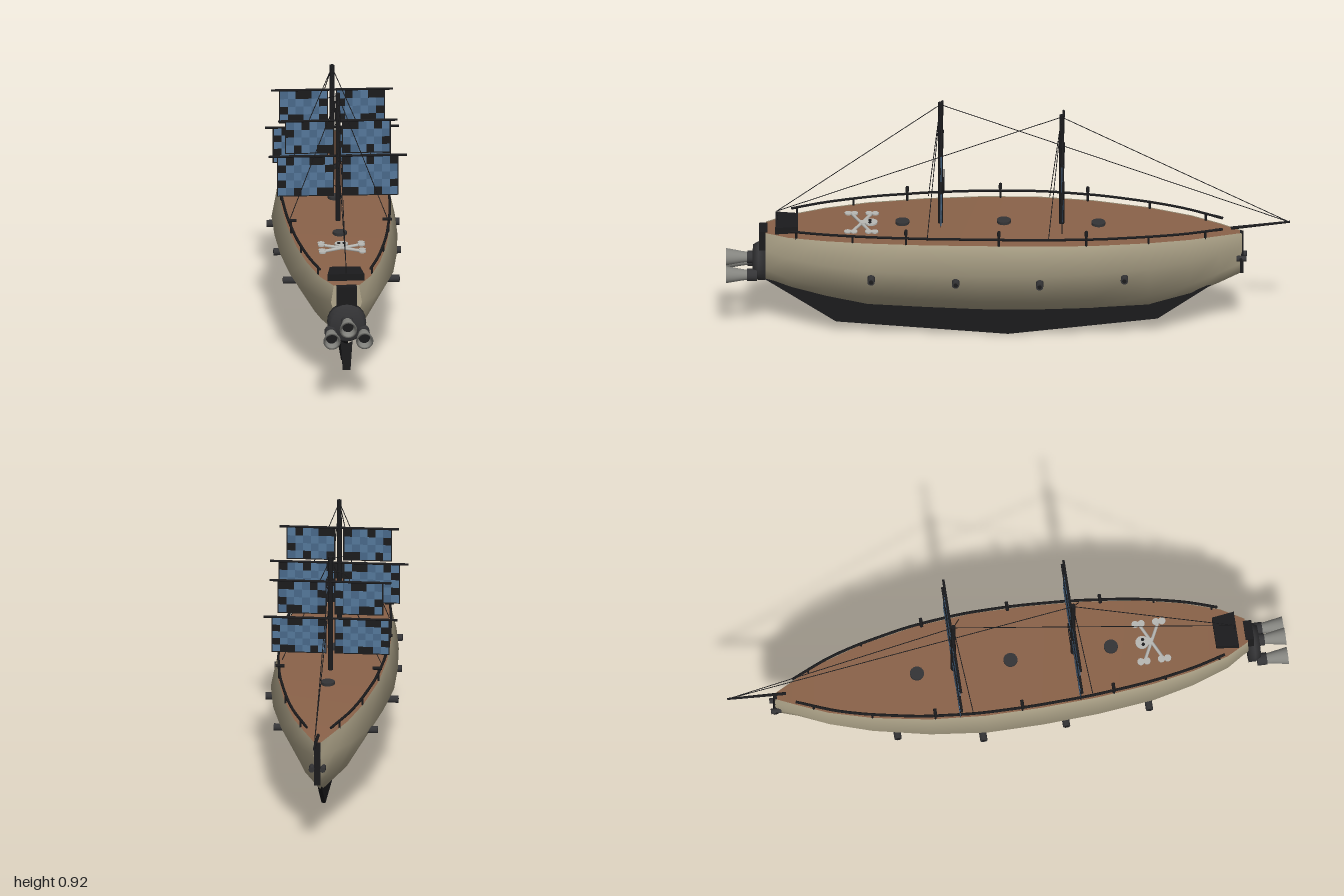
import * as THREE from 'three';
import { mergeGeometries } from 'three/addons/utils/BufferGeometryUtils.js';

const mat = (color) => new THREE.MeshStandardMaterial({ color, side: THREE.DoubleSide });
const HULL = mat(0xb0a68b), DECK = mat(0x8a6249), DARK = mat(0x1b1b1d), IRON = mat(0x343436);
const BLUE = mat(0x55789b), BLUE2 = mat(0x49698a), STEEL = mat(0x84847f), BONE = mat(0xb8b8b4);
const V = (x, y, z) => new THREE.Vector3(x, y, z);

// Hull stations from stern (+z) to bow: z, deck half-width, widest half-width, deck height, keel height
const STATIONS = [
  [0.86, 0.045, 0.055, 0.415, 0.21], [0.78, 0.09, 0.105, 0.42, 0.178], [0.65, 0.13, 0.15, 0.428, 0.142],
  [0.5, 0.16, 0.184, 0.435, 0.11], [0.3, 0.183, 0.207, 0.441, 0.1], [0.1, 0.194, 0.218, 0.445, 0.092],
  [-0.1, 0.195, 0.219, 0.445, 0.092], [-0.3, 0.178, 0.196, 0.44, 0.1], [-0.5, 0.14, 0.153, 0.433, 0.114],
  [-0.65, 0.095, 0.108, 0.425, 0.16], [-0.75, 0.05, 0.06, 0.418, 0.208], [-0.83, 0.01, 0.013, 0.41, 0.25],
];

// Interpolated station at any z
function stationAt(z) {
  let i = 0;
  while (i < STATIONS.length - 2 && STATIONS[i + 1][0] > z) i++;
  const a = STATIONS[i], b = STATIONS[i + 1], t = (z - a[0]) / (b[0] - a[0]);
  return a.map((v, k) => v + (b[k] - v) * t);
}

// Outline of one hull section, from the left gunwale round the keel to the right one
function hullSection([, deck, wide, top, keel]) {
  const h = top - keel;
  const half = [[deck, top], [wide, keel + h * 0.69], [wide * 0.52, keel + h * 0.25]];
  return [...half, [0, keel], ...half.map(([x, y]) => [-x, y]).reverse()];
}

// Skin stretched over the sections of all stations
function loft(section) {
  const pos = [], index = [];
  const rows = STATIONS.map(section), n = rows[0].length;
  rows.forEach((row, i) => row.forEach(([x, y]) => pos.push(x, y, STATIONS[i][0])));
  for (let i = 0; i < rows.length - 1; i++) {
    for (let j = 0; j < n - 1; j++) {
      const a = i * n + j, b = a + n;
      index.push(a, a + 1, b, b, a + 1, b + 1);
    }
  }
  const g = new THREE.BufferGeometry();
  g.setAttribute('position', new THREE.Float32BufferAttribute(pos, 3));
  g.setIndex(index);
  g.computeVertexNormals();
  return g;
}

const shapeOf = (pts) => new THREE.Shape(pts.map(([x, y]) => new THREE.Vector2(x, y)));

export function createModel() {
  const root = new THREE.Group();
  const add = (name, geo, material, x = 0, y = 0, z = 0, parent = root) => {
    const m = new THREE.Mesh(geo, material);
    m.name = name;
    m.position.set(x, y, z);
    parent.add(m);
    return m;
  };
  // Round bar between two points
  const rod = (name, a, b, r, material = DARK, sides = 8, r2 = r) => {
    const m = add(name, new THREE.CylinderGeometry(r2, r, a.distanceTo(b), sides), material);
    m.position.copy(a).lerp(b, 0.5);
    m.quaternion.setFromUnitVectors(V(0, 1, 0), b.clone().sub(a).normalize());
    return m;
  };
  const box = (name, w, h, d, material, x, y, z) =>
    add(name, new THREE.BoxGeometry(w, h, d), material, x, y, z);

  // Hull, stern plate, deck and stem
  add('hull', loft(hullSection), HULL);
  add('transom', new THREE.ShapeGeometry(shapeOf(hullSection(STATIONS[0]))), HULL, 0, 0, 0.86);
  add('deck', loft(([, w, , top]) => [[-w, top - 0.003], [w, top - 0.003]]), DECK);
  box('stem', 0.022, 0.16, 0.012, DARK, 0, 0.33, -0.829);

  // Keel fin
  const fin = new THREE.ExtrudeGeometry(shapeOf([[0.86, 0.21], [0.61, 0.045], [0, 0], [-0.53, 0.065],
    [-0.72, 0.2], [-0.5, 0.17], [0, 0.13], [0.5, 0.16]]), { depth: 0.014, bevelEnabled: false });
  fin.rotateY(-Math.PI / 2);
  add('keelFin', fin, DARK, 0.007, 0, 0);

  // Rudder sheet and stern engine
  add('rudder', new THREE.ShapeGeometry(shapeOf([[-0.014, 0.1], [0.014, 0.1], [0.021, 0.208],
    [0, 0.198], [-0.021, 0.208]])), DARK, 0, 0, 0.868);
  const drum = new THREE.LatheGeometry([[0, 0.86], [0.069, 0.86], [0.069, 0.885], [0.058, 0.905], [0, 0.908]]
    .map(([r, z]) => new THREE.Vector2(r, z)), 24);
  add('engineDrum', drum.toNonIndexed(), IRON, 0, 0.282, 0).rotation.x = Math.PI / 2;
  box('engineNeck', 0.072, 0.09, 0.03, DARK, 0, 0.37, 0.868);
  for (const [x, y] of [[0, 0.297], [0.058, 0.255], [-0.058, 0.255]]) {
    rod('nozzleCollar', V(x, y, 0.89), V(x, y, 0.925), 0.022, IRON, 16);
    const bell = new THREE.LatheGeometry([[0.017, 0.915], [0.021, 0.945], [0.031, 1], [0.024, 1], [0.019, 0.95]]
      .map(([r, z]) => new THREE.Vector2(r, z)), 20);
    add('nozzle', bell, STEEL, x, y, 0).rotation.x = Math.PI / 2;
    add('nozzleThroat', new THREE.CircleGeometry(0.021, 20), DARK, x, y, 0.965);
  }

  // Stern locker, tapered forward
  const locker = new THREE.ExtrudeGeometry(shapeOf([[-0.065, -0.825], [0.065, -0.825], [0.054, -0.745], [-0.054, -0.745]]),
    { depth: 0.025, bevelEnabled: false });
  add('sternLocker', locker.rotateX(-Math.PI / 2), DARK, 0, 0.42, 0);

  // Deck hatches
  for (const z of [0.375, 0.015, -0.32]) {
    const y = stationAt(z)[3];
    rod('hatch', V(0, y - 0.005, z), V(0, y + 0.007, z), 0.025, IRON, 16);
  }

  // Crossed bones and skull inlaid on the deck
  for (const s of [1, -1]) {
    rod('bone', V(-0.07, 0.434, 0.52 - s * 0.034), V(0.07, 0.434, 0.52 + s * 0.034), 0.006, BONE);
    for (const e of [1, -1]) for (const k of [-0.011, 0.011])
      add('boneEnd', new THREE.CylinderGeometry(0.013, 0.013, 0.005, 12), BONE, e * 0.071, 0.437, 0.52 + e * s * 0.037 + k);
    add('eyeSocket', new THREE.CylinderGeometry(0.006, 0.006, 0.003, 10), DARK, s * 0.009, 0.4425, 0.49);
  }
  add('skull', new THREE.CylinderGeometry(0.024, 0.024, 0.006, 16), BONE, 0, 0.438, 0.487);
  box('jaw', 0.024, 0.005, 0.022, BONE, 0, 0.438, 0.513);

  // Rails, posts, swivel guns and broadside cannons on both sides
  for (const s of [1, -1]) {
    const railPoint = (z) => {
      const [, w, , top] = stationAt(z);
      return V(s * (w - 0.003), top + 0.024, z);
    };
    const path = [];
    for (let z = 0.77; z > -0.73; z -= 0.1) path.push(railPoint(z));
    path.push(railPoint(-0.73));
    add('rail', new THREE.TubeGeometry(new THREE.CatmullRomCurve3(path), 48, 0.005, 6), DARK);
    for (const z of [0.75, 0.55, 0.36, 0.03, -0.28, -0.5, -0.7]) {
      const p = railPoint(z);
      rod('railPost', V(p.x, p.y - 0.03, z), p, 0.004, DARK, 6);
    }
    for (const z of [0.36, 0.03, -0.28]) {
      const p = railPoint(z);
      rod('swivelPost', p, V(p.x, p.y + 0.018, z), 0.004, DARK, 6);
      rod('swivelGun', V(p.x - s * 0.02, p.y + 0.02, z), V(p.x + s * 0.012, p.y + 0.02, z), 0.006);
    }
    for (const [z, reach] of [[0.483, 0.207], [0.183, 0.226], [-0.115, 0.236], [-0.415, 0.185]]) {
      rod('cannon', V(s * (reach - 0.07), 0.304, z), V(s * reach, 0.304, z), 0.013, IRON, 14);
      rod('cannonBore', V(s * (reach - 0.005), 0.304, z), V(s * (reach + 0.0005), 0.304, z), 0.008, DARK, 12);
    }
    rod('bowGun', V(s * 0.02, 0.313, -0.81), V(s * 0.02, 0.313, -0.846), 0.01, IRON, 12);
  }
  rod('bowGunAxle', V(-0.03, 0.313, -0.826), V(0.03, 0.313, -0.826), 0.006);

  // Checked sail: dark panel with raised blue cells, some edge cells left dark
  const sail = (x0, x1, y0, y1, z, seed) => {
    const cols = Math.round((x1 - x0) / 0.029), rows = Math.round((y1 - y0) / 0.029);
    const edge = 0.004, cw = (x1 - x0 - 2 * edge) / cols, ch = (y1 - y0 - 2 * edge) / rows;
    box('sailPanel', x1 - x0, y1 - y0, 0.002, DARK, (x0 + x1) / 2, (y0 + y1) / 2, z);
    const tones = [[], []];
    for (let i = 0; i < cols; i++) for (let j = 0; j < rows; j++) {
      const onEdge = i === 0 || j === 0 || i === cols - 1 || j === rows - 1;
      if (onEdge && (i * 5 + j * 3 + seed) % 7 < 3) continue;
      tones[(i + j) % 2].push(new THREE.BoxGeometry(cw, ch, 0.004)
        .translate(x0 + edge + (i + 0.5) * cw, y0 + edge + (j + 0.5) * ch, z));
    }
    tones.forEach((cells, k) => add('sailCloth', mergeGeometries(cells), k ? BLUE2 : BLUE));
  };

  // Masts with yards, sails and rigging; each sail: foot, yard height, sail half-width, yard half-length
  const aftHook = V(0, 0.48, 0.82), bowTip = V(0, 0.451, -0.995);
  const masts = [
    { z: 0.24, top: 0.917, sails: [[0.69, 0.813, 0.188, 0.212], [0.53, 0.68, 0.216, 0.246]] },
    { z: -0.19, top: 0.87, sails: [[0.652, 0.776, 0.188, 0.216], [0.503, 0.636, 0.21, 0.238]] },
  ];
  masts.forEach(({ z, top, sails }, m) => {
    rod('mast', V(0, 0.42, z), V(0, top, z), 0.0095, DARK, 10, 0.0085);
    sails.forEach(([foot, yard, half, reach], k) => {
      rod('yard', V(-reach, yard, z - 0.004), V(reach, yard, z - 0.004), 0.0045);
      sail(0.014, half, foot, yard, z - 0.004, m + 2 * k);
      sail(-half, -0.014, foot, yard, z - 0.004, m + 2 * k + 3);
    });
    const head = V(0, top - 0.008, z);
    rod('aftStay', head, aftHook, 0.0015, DARK, 5);
    rod('foreStay', head, bowTip, 0.0015, DARK, 5);
    for (const s of [1, -1]) rod('shroud', head, V(s * 0.175, 0.455, z + 0.045), 0.0015, DARK, 5);
  });
  rod('aftStayPost', V(0, 0.42, 0.815), aftHook, 0.002, DARK, 5);
  rod('bowsprit', V(0, 0.424, -0.79), V(0, 0.451, -1), 0.006, DARK, 8, 0.004);
  add('mastHoop', new THREE.TorusGeometry(0.043, 0.0016, 5, 32), DARK, 0.004, 0.605, 0.228);

  return root;
}
